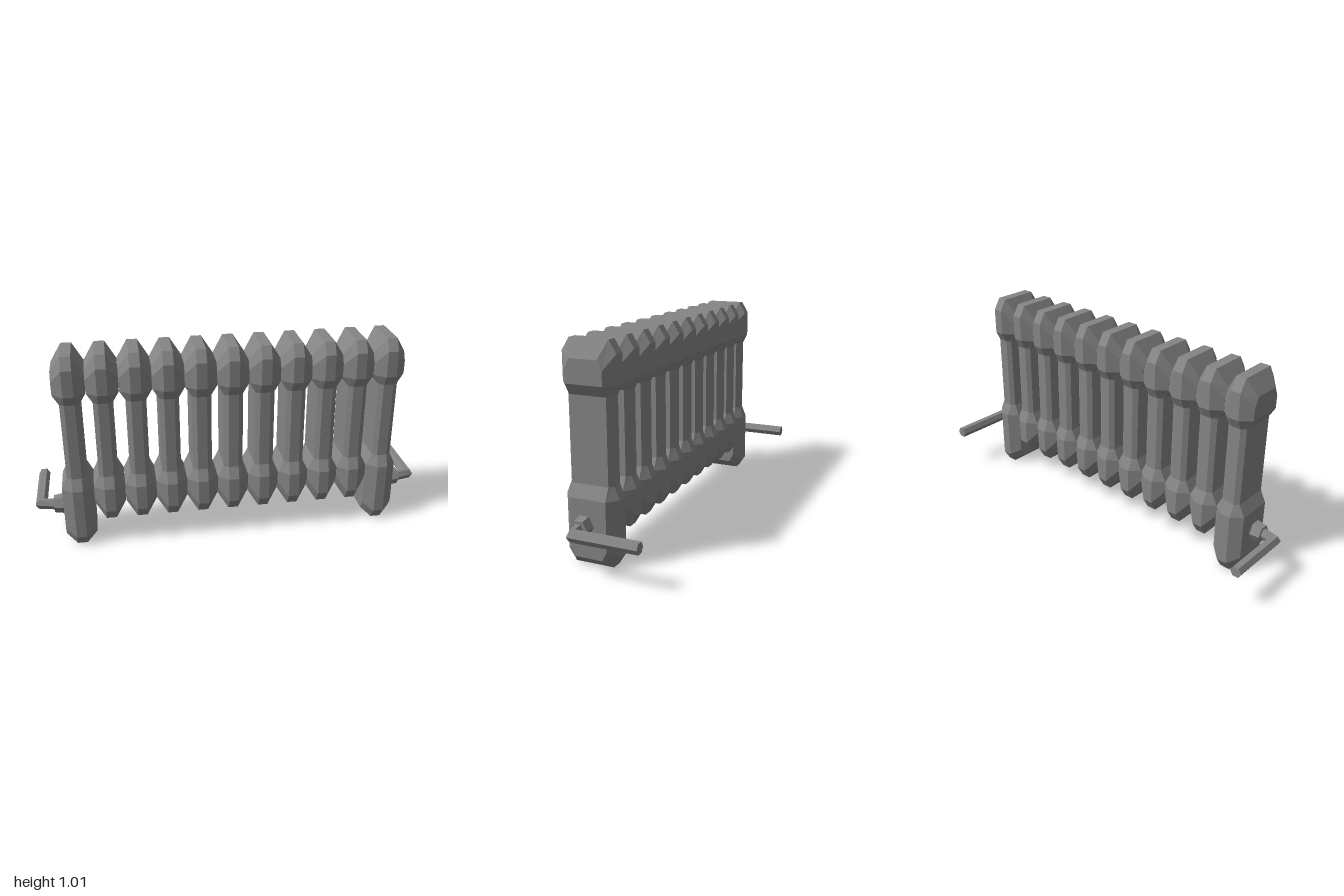
import * as THREE from 'three';

const material = new THREE.MeshStandardMaterial({ color: 0x858585, flatShading: true });

// Skins a stack of rings (counterclockwise seen from the last one); caps are quads of ring indices
function loft(name, rings, caps) {
  const pos = [];
  const quad = (a, b, c, d) => [a, b, c, a, c, d].forEach((p) => pos.push(...p));
  for (let i = 0; i < rings.length - 1; i++) {
    const lo = rings[i], hi = rings[i + 1], n = lo.length;
    for (let j = 0; j < n; j++) {
      const k = (j + 1) % n;
      quad(lo[j], lo[k], hi[k], hi[j]);
    }
  }
  const first = rings[0], last = rings[rings.length - 1];
  for (const [a, b, c, d] of caps) {
    quad(last[a], last[b], last[c], last[d]);
    quad(first[d], first[c], first[b], first[a]);
  }
  const geometry = new THREE.BufferGeometry();
  geometry.setAttribute('position', new THREE.Float32BufferAttribute(pos, 3));
  geometry.computeVertexNormals();
  const mesh = new THREE.Mesh(geometry, material);
  mesh.name = name;
  return mesh;
}

const RIDGE = 0.025, WIDE = 0.0775, NARROW = 0.048, MID_Z = 0.09;

// Eight-sided ring: ridge corners (front/back) and side corners have their own heights
function sectionRing(ridgeY, ridgeZ, sideY, sideX, sideZ) {
  const a = [RIDGE, ridgeY, ridgeZ], b = [sideX, sideY, sideZ];
  const place = ([x, y, z], sx, sz) => [x * sx, y, MID_Z + z * sz];
  return [
    place(a, 1, 1), place(b, 1, 1), place(b, 1, -1), place(a, 1, -1),
    place(a, -1, -1), place(b, -1, -1), place(b, -1, 1), place(a, -1, 1),
  ];
}

// One column with bevelled, swollen head and base
function section(name, ends) {
  const [y0, y1, y2, y3] = ends;
  return loft(name, [
    sectionRing(y0, 0.096, y1, WIDE, 0.067),
    sectionRing(y2, 0.132, y3, WIDE, 0.09),
    sectionRing(0.32, 0.132, 0.32, WIDE, 0.09),
    sectionRing(0.38, 0.107, 0.38, NARROW, 0.09),
    sectionRing(0.775, 0.107, 0.775, NARROW, 0.09),
    sectionRing(0.825, 0.132, 0.825, WIDE, 0.09),
    sectionRing(0.957, 0.132, 0.89, WIDE, 0.09),
    sectionRing(1.015, 0.096, 0.935, WIDE, 0.067),
  ], [[0, 1, 2, 3], [0, 3, 4, 7], [4, 5, 6, 7]]);
}

// Hexagonal ring at (x, z); (ux, uz) is its half-width in plan, h its half-height
function hexRing(side, x, z, ux, uz, h) {
  return Array.from({ length: 6 }, (_, i) => {
    const c = Math.cos((i * Math.PI) / 3), s = Math.sin((i * Math.PI) / 3);
    return [side * (x + ux * c), 0.198 - (side * s * h) / Math.sin(Math.PI / 3), z + uz * c];
  });
}
const HEX_CAPS = [[0, 1, 2, 3], [0, 3, 4, 5]];

export function createModel() {
  const group = new THREE.Group();
  group.name = 'radiator';

  // Columns; the two outer ones reach the floor as feet
  const count = 11, pitch = 0.156;
  for (let i = 0; i < count; i++) {
    const isEnd = i === 0 || i === count - 1;
    const column = isEnd
      ? section('footColumn', [0, 0.046, 0.056, 0.09])
      : section('column', [0.135, 0.215, 0.193, 0.26]);
    column.position.x = (i - (count - 1) / 2) * pitch;
    group.add(column);
  }

  // Nut and bent supply pipe on each side
  for (const side of [1, -1]) {
    group.add(loft(side > 0 ? 'leftNut' : 'rightNut', [
      hexRing(side, 0.85, 0.108, 0, 0.048, 0.047),
      hexRing(side, 0.907, 0.108, 0, 0.042, 0.038),
    ], HEX_CAPS));
    group.add(loft(side > 0 ? 'leftPipe' : 'rightPipe', [
      hexRing(side, 0.89, 0.112, 0, 0.028, 0.025),
      hexRing(side, 0.971, 0.098, 0.029, 0.014, 0.025),
      hexRing(side, 0.971, -0.222, 0.029, 0, 0.025),
    ], HEX_CAPS));
  }
  return group;
}
